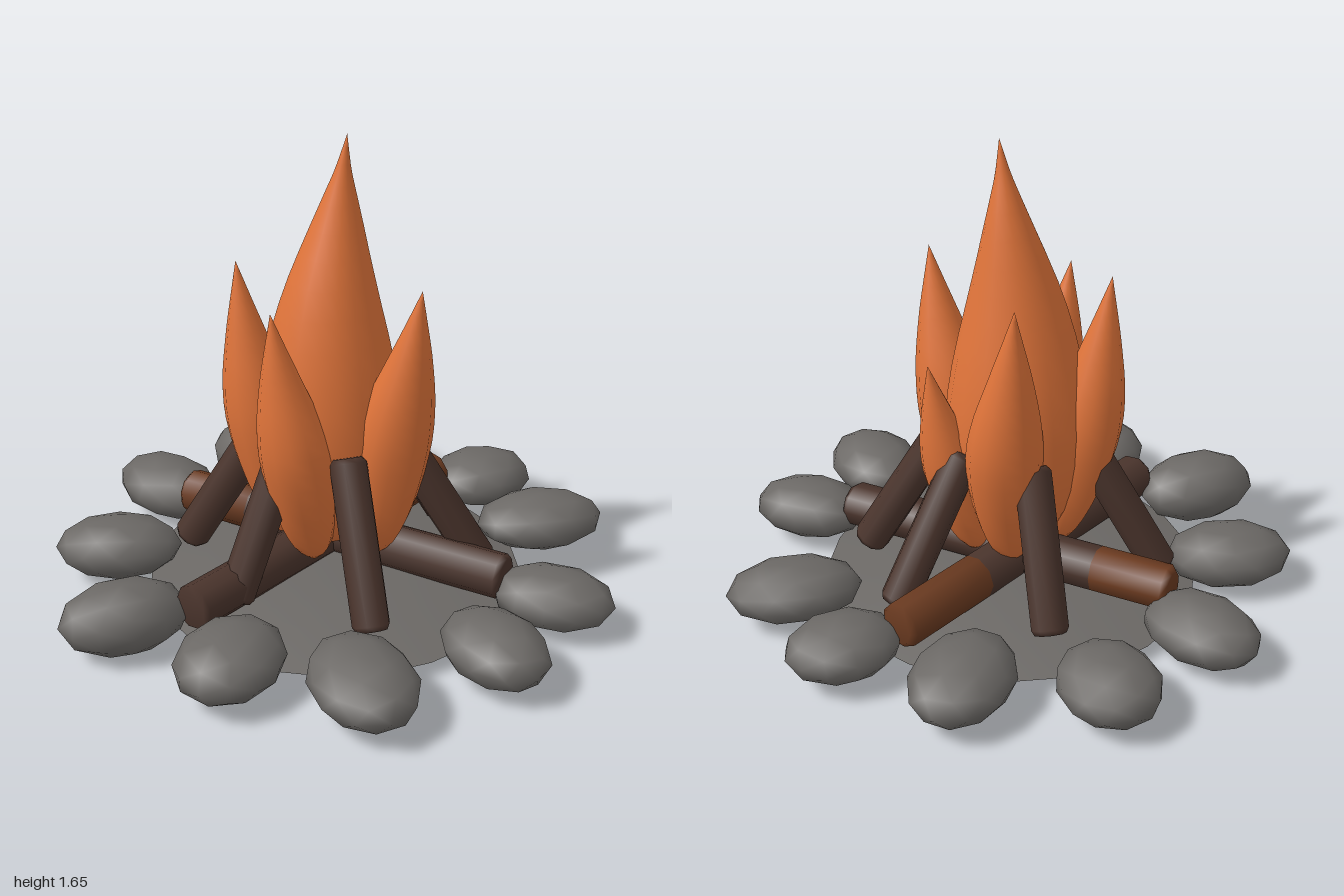
import * as THREE from 'three';
import { mergeVertices } from 'three/addons/utils/BufferGeometryUtils.js';

const mat = (name, color, extra = {}) => Object.assign(new THREE.MeshStandardMaterial({ color, ...extra }), { name });
const V = (x, y, z) => new THREE.Vector3(x, y, z);

// Drops uv and normals so the seam welds, then smooths
function smooth(geo) {
  geo.deleteAttribute('uv');
  geo.deleteAttribute('normal');
  const g = mergeVertices(geo, 1e-5);
  g.computeVertexNormals();
  return g;
}

// Flame tongue: rings of the given radii following a curved spine.
// rows: [radius, height], spine(y) returns the centre offset [x, z]
function flameGeometry(rows, spine, sides) {
  const profile = new THREE.SplineCurve(rows.map(([r, y]) => new THREE.Vector2(r, y)))
    .getPoints(20).map(p => new THREE.Vector2(Math.max(p.x, 0), p.y));
  const geo = new THREE.LatheGeometry(profile, sides);
  const pos = geo.attributes.position;
  for (let i = 0; i < pos.count; i++) {
    const [ox, oz] = spine(pos.getY(i));
    pos.setXYZ(i, pos.getX(i) + ox, pos.getY(i), pos.getZ(i) + oz);
  }
  return smooth(geo);
}

// Linear interpolation through [y, x, z] stations with eased steps
function spineThrough(stations) {
  const curve = new THREE.CatmullRomCurve3(stations.map(([y, x, z]) => V(x, y, z)));
  const pts = curve.getPoints(60);
  return y => {
    let i = 1;
    while (i < pts.length - 1 && pts[i].y < y) i++;
    const a = pts[i - 1], b = pts[i];
    const t = THREE.MathUtils.clamp((y - a.y) / (b.y - a.y), 0, 1);
    return [a.x + (b.x - a.x) * t, a.z + (b.z - a.z) * t];
  };
}

export function createModel() {
  const stone = mat('stone grey', 0x6b6865);
  const ash = mat('ash grey', 0x6b6865, { side: THREE.DoubleSide });
  const bark = mat('dark bark', 0x4a342c);
  const ember = mat('scorched brown', 0x6a3a20);
  const fire = mat('flame orange', 0xe0743a);

  const root = new THREE.Group();
  root.name = 'campfire';
  const add = (name, geo, material, parent = root) => {
    const m = new THREE.Mesh(geo, material);
    m.name = name;
    parent.add(m);
    return m;
  };

  // Shallow mound of ash
  const mound = [[0.65, 0.05], [0.45, 0.095], [0.22, 0.115], [0, 0.12]].map(p => new THREE.Vector2(...p));
  add('ashBed', smooth(new THREE.LatheGeometry(mound, 24)), ash).position.set(0.02, 0, 0.01);

  // Ring of stones: x, z, half length, half width, half height, angle in degrees
  const stones = new THREE.Group();
  stones.name = 'stoneRing';
  root.add(stones);
  [
    [-0.79, 0.04, 0.215, 0.15, 0.117, 8],
    [-0.635, -0.385, 0.215, 0.15, 0.1, 25],
    [-0.305, -0.70, 0.21, 0.15, 0.1, 70],
    [0.11, -0.79, 0.19, 0.165, 0.1, 95],
    [0.50, -0.54, 0.22, 0.165, 0.1, -38],
    [0.765, -0.205, 0.19, 0.155, 0.095, 5],
    [0.78, 0.165, 0.225, 0.15, 0.095, 18],
    [0.525, 0.615, 0.205, 0.145, 0.095, 48],
    [0.19, 0.77, 0.205, 0.155, 0.1, 85],
    [-0.27, 0.725, 0.23, 0.17, 0.1, 98],
    [-0.585, 0.425, 0.21, 0.17, 0.1, -38],
  ].forEach(([x, z, a, b, h, deg], i) => {
    const geo = smooth(new THREE.IcosahedronGeometry(1, 1));
    geo.rotateX(i * 1.3);
    geo.scale(a * 1.03, h * 1.03, b * 1.03);
    geo.computeVertexNormals();
    const m = add('stone', geo, stone, stones);
    m.position.set(x, 0.12, z);
    m.rotation.y = -THREE.MathUtils.degToRad(deg);
  });

  // Log between two points, with a narrowed rim at each end if bevelled
  function log(name, from, to, r, material, bevelStart = true, bevelEnd = true) {
    const len = from.distanceTo(to), c = 0.018;
    const pts = [[0, 0]];
    pts.push(...(bevelStart ? [[r * 0.85, 0], [r, c]] : [[r, 0]]));
    pts.push(...(bevelEnd ? [[r, len - c], [r * 0.75, len]] : [[r, len]]));
    pts.push([0, len]);
    const geo = new THREE.LatheGeometry(pts.map(p => new THREE.Vector2(...p)), 9);
    const m = add(name, geo, material);
    m.position.copy(from);
    m.quaternion.setFromUnitVectors(V(0, 1, 0), to.clone().sub(from).normalize());
  }

  // Two crossing logs lying flat, each with one scorched end
  [
    [V(-0.605, 0.16, 0.165), V(0.595, 0.165, -0.26), 0.7],
    [V(0.41, 0.165, 0.495), V(-0.295, 0.18, -0.535), 0.78],
  ].forEach(([a, b, t]) => {
    const split = a.clone().lerp(b, t);
    log('lyingLog', a, split, 0.08, bark, true, false);
    log('lyingLogScorchedEnd', split, b, 0.08, ember, false, true);
  });

  // Leaning logs: foot and top
  [
    [[-0.11, 0.12, 0.50], [-0.06, 0.62, 0.24]],
    [[0.43, 0.12, 0.31], [0.19, 0.58, 0.17]],
    [[0.51, 0.12, -0.08], [0.22, 0.60, -0.03]],
    [[0.145, 0.12, -0.48], [0.07, 0.60, -0.22]],
    [[-0.385, 0.12, -0.325], [-0.18, 0.58, -0.15]],
    [[-0.42, 0.12, 0.12], [-0.20, 0.58, 0.06]],
  ].forEach(([foot, top]) => log('leaningLog', V(...foot), V(...top), 0.064, bark));

  // Tall central flame
  add('mainFlame', flameGeometry(
    [[0, 0.17], [0.13, 0.24], [0.215, 0.4], [0.245, 0.62], [0.22, 0.85], [0.165, 1.08],
      [0.105, 1.28], [0.048, 1.46], [0.024, 1.54], [0, 1.65]],
    spineThrough([[0.17, 0, 0], [0.6, 0, 0], [1.1, 0, 0.01], [1.4, 0.025, 0.02], [1.65, 0.04, 0.045]]), 18), fire);

  // Side flames: base x z, belly x z, tip x z, tip height, belly radius
  [
    ['frontFlame', 0.09, 0.15, 0.12, 0.215, 0.155, 0.33, 1.2, 0.135],
    ['backFlame', 0.08, -0.10, 0.14, -0.165, 0.15, -0.25, 1.2, 0.13],
    ['backLeftCurlFlame', -0.10, -0.08, -0.185, -0.135, -0.25, -0.18, 1.2, 0.125],
    ['sideCurlFlame', -0.10, 0.08, -0.19, 0.13, -0.275, 0.12, 1.13, 0.125],
    ['shortFlame', 0.15, 0.02, 0.235, 0.03, 0.315, 0.035, 0.92, 0.10],
  ].forEach(([name, bx, bz, mx, mz, tx, tz, top, r]) => {
    const y0 = 0.16, h = top - y0, at = t => y0 + h * t;
    const rows = [[0, 0], [0.5, 0.07], [0.85, 0.22], [1, 0.42], [0.88, 0.58], [0.58, 0.74], [0.27, 0.88], [0, 1]]
      .map(([k, t]) => [k * r, at(t)]);
    const spine = spineThrough([[at(0), bx, bz], [at(0.45), mx, mz],
      [at(0.78), mx * 0.35 + tx * 0.65, mz * 0.35 + tz * 0.65], [at(1), tx, tz]]);
    add(name, flameGeometry(rows, spine, 12), fire);
  });

  return root;
}
